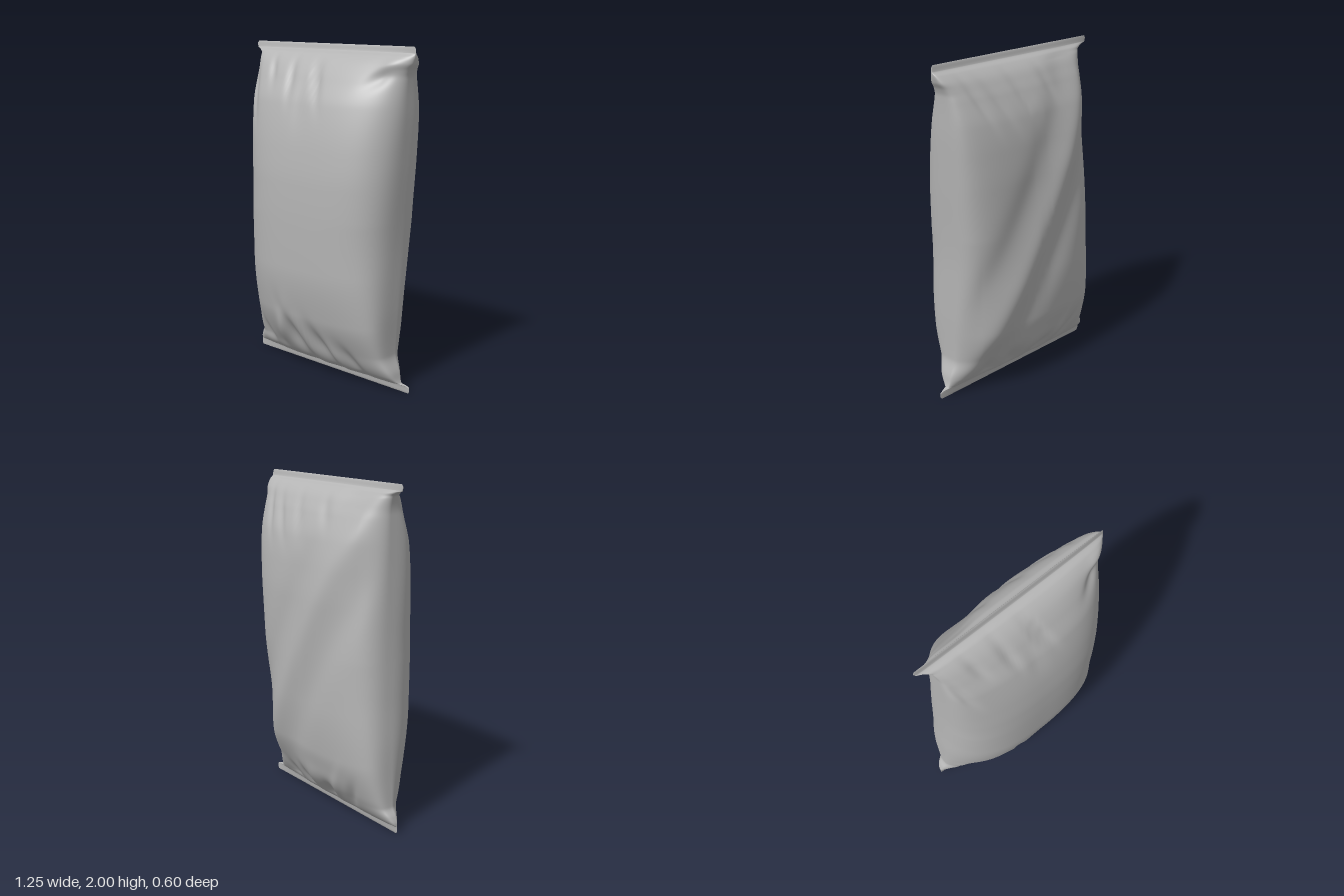
import * as THREE from 'three';

// Smooth monotone curve through [y, value] points
function profile(pts) {
  const n = pts.length, d = [], m = [];
  for (let i = 0; i < n - 1; i++) d.push((pts[i + 1][1] - pts[i][1]) / (pts[i + 1][0] - pts[i][0]));
  for (let i = 0; i < n; i++) {
    const a = d[Math.max(0, i - 1)], b = d[Math.min(n - 2, i)];
    m.push(a * b > 0 ? (2 * a * b) / (a + b) : 0);
  }
  return (y) => {
    let i = 0;
    while (i < n - 2 && y > pts[i + 1][0]) i++;
    const h = pts[i + 1][0] - pts[i][0], t = (y - pts[i][0]) / h, t2 = t * t, t3 = t2 * t;
    return (2 * t3 - 3 * t2 + 1) * pts[i][1] + (t3 - 2 * t2 + t) * h * m[i]
      + (3 * t2 - 2 * t3) * pts[i + 1][1] + (t3 - t2) * h * m[i + 1];
  };
}

// Outline of the bag: side edges and front / back bulge by height
const edgeNeg = profile([[0, -0.618], [0.015, -0.627], [0.06, -0.625], [0.1, -0.61], [0.15, -0.58], [0.25, -0.575],
  [0.5, -0.568], [0.8, -0.55], [1.2, -0.535], [1.6, -0.53], [1.83, -0.53], [1.93, -0.55], [1.952, -0.585],
  [1.962, -0.62], [1.985, -0.627], [2, -0.618]]);
const edgePos = profile([[0, 0.615], [0.012, 0.623], [0.035, 0.623], [0.045, 0.605], [0.052, 0.565], [0.12, 0.545],
  [0.22, 0.513], [0.5, 0.52], [0.8, 0.523], [1.35, 0.555], [1.6, 0.57], [1.83, 0.58], [1.87, 0.592],
  [1.91, 0.615], [1.96, 0.625], [1.985, 0.625], [2, 0.615]]);
const SEAM_Z = -0.03;
const front = profile([[0, 0], [0.005, 0.003], [0.042, 0.012], [0.055, 0.055], [0.1, 0.12], [0.2, 0.188], [0.4, 0.278],
  [0.7, 0.325], [1, 0.33], [1.2, 0.325], [1.4, 0.305], [1.66, 0.248], [1.8, 0.182], [1.85, 0.153], [1.9, 0.115],
  [1.945, 0.06], [1.965, 0.012], [1.995, 0.003], [2, 0]]);
const back = profile([[0, 0], [0.005, 0.003], [0.042, 0.012], [0.055, 0.042], [0.1, 0.088], [0.2, 0.148], [0.4, 0.22],
  [0.7, 0.248], [1, 0.253], [1.3, 0.25], [1.5, 0.237], [1.66, 0.212], [1.8, 0.16], [1.85, 0.133], [1.9, 0.1],
  [1.945, 0.05], [1.965, 0.012], [1.995, 0.003], [2, 0]]);

// Creases: [x, y, lean (dx per dy), half width, half length, height]
const frontFolds = [
  [-0.52, 0.2, 0.15, 0.035, 0.1, 0.02], [-0.42, 0.15, -0.2, 0.05, 0.09, -0.022],
  [-0.27, 0.14, 0.2, 0.06, 0.07, -0.016],
  [-0.2, 0.26, 0.35, 0.05, 0.16, 0.02], [-0.11, 0.24, -0.3, 0.045, 0.16, -0.032],
  [0.01, 0.2, -0.3, 0.04, 0.13, 0.02], [0.1, 0.22, -0.35, 0.045, 0.12, -0.027],
  [0.2, 0.16, -0.3, 0.035, 0.1, 0.016], [0.31, 0.15, -0.4, 0.04, 0.09, -0.023],
  [-0.47, 1.72, -0.3, 0.03, 0.15, -0.018], [-0.34, 1.84, -0.4, 0.03, 0.08, -0.016],
  [-0.16, 1.8, -0.25, 0.03, 0.12, -0.018], [0.05, 1.8, -0.4, 0.03, 0.12, -0.021],
  [-0.03, 1.68, -0.1, 0.05, 0.14, -0.008], [0.47, 1.83, 0.8, 0.06, 0.06, -0.022],
  [0.54, 1.9, 0.6, 0.07, 0.05, 0.025],
];
const backFolds = [
  [-0.1, 0.22, 0, 0.24, 0.07, 0.012],
  [0.12, 0.13, 0.3, 0.05, 0.07, -0.022], [0, 0.17, -0.2, 0.04, 0.08, 0.012], [-0.12, 0.12, -0.4, 0.05, 0.07, -0.024],
  [-0.24, 0.2, -0.5, 0.04, 0.12, 0.012], [-0.35, 0.16, -0.5, 0.04, 0.1, -0.018], [0.3, 0.12, 0.3, 0.05, 0.06, -0.014],
  [0.42, 1.78, 0.5, 0.03, 0.12, -0.012], [0.28, 1.76, 0.6, 0.035, 0.12, -0.012], [0.1, 1.78, 0.5, 0.035, 0.12, -0.012],
  [-0.12, 1.82, 0.4, 0.04, 0.09, -0.01],
];
const bell = (t) => Math.exp(-t * t);
const creases = (folds, x, y) => folds.reduce((s, [fx, fy, lean, w, l, h]) =>
  s + h * bell((x - fx - lean * (y - fy)) / w) * bell((y - fy) / l), 0);

// Long diagonal fold across the back, with a shallow valley on each side
function diagonalFold(x, y) {
  const u = x + 0.58 * (y - 1);
  return 0.02 * bell(u / 0.1) - 0.016 * bell((u - 0.24) / 0.12) - 0.018 * bell((u + 0.23) / 0.12);
}

const spow = (v, p) => Math.sign(v) * Math.abs(v) ** p;

// Squareness of the section: the bag is twisted, so opposite corners are full or lean
function squareness(c, y, isFront) {
  const twist = c * (1 - y);
  const full = Math.max(0, isFront ? twist : -twist), lean = Math.max(0, isFront ? -twist : twist);
  return isFront
    ? 2.65 + 0.15 * c + 3.5 * full ** 2 - 0.8 * lean
    : 3 + 0.3 * c + 2 * full ** 2 - (1.25 + 0.5 * c) * lean;
}

// Point on the bag at angle t around it and height y
function bagPoint(t, y) {
  const c = Math.cos(t), s = Math.sin(t), isFront = s >= 0;
  const a = edgeNeg(y), b = edgePos(y);
  const n = squareness(c, y, isFront);
  const x = (a + b) / 2 + ((b - a) / 2) * spow(c, 2 / n);
  const depth = isFront ? front(y) : back(y);
  const shape = Math.abs(s) ** (2 / n);
  const loose = Math.min(1, Math.max(0, (depth - 0.012) / 0.07)) * Math.min(1, Math.abs(s) * 1.6);
  const fold = isFront ? creases(frontFolds, x, y) : creases(backFolds, x, y) + diagonalFold(x, y);
  const out = Math.max(depth * shape + fold * loose, Math.min(depth, 0.003) * shape);
  return [x, y, SEAM_Z + (isFront ? out : -out)];
}

// Closed tube of cross-sections between two heights
function bagSection(y0, y1, rows, around = 240) {
  const pos = [], index = [];
  for (let j = 0; j <= rows; j++) {
    const y = y0 + (y1 - y0) * (1 - Math.cos((Math.PI * j) / rows)) / 2;
    for (let i = 0; i < around; i++) pos.push(...bagPoint((i / around) * Math.PI * 2, y));
  }
  for (let j = 0; j < rows; j++) {
    for (let i = 0; i < around; i++) {
      const k = (i + 1) % around, p = j * around, q = p + around;
      index.push(p + i, q + i, p + k, p + k, q + i, q + k);
    }
  }
  const g = new THREE.BufferGeometry();
  g.setAttribute('position', new THREE.Float32BufferAttribute(pos, 3));
  g.setIndex(index);
  g.computeVertexNormals();
  return g;
}

export function createModel() {
  const group = new THREE.Group();
  group.name = 'pillowBag';
  const foil = new THREE.MeshStandardMaterial({ color: 0xb4b4b4, side: THREE.DoubleSide });
  foil.name = 'grey foil';
  const add = (name, y0, y1, rows) => {
    const mesh = new THREE.Mesh(bagSection(y0, y1, rows), foil);
    mesh.name = name;
    group.add(mesh);
  };
  add('bottomSeal', 0, 0.042, 10);
  add('bagBody', 0.042, 1.965, 160);
  add('topSeal', 1.965, 2, 10);
  return group;
}
